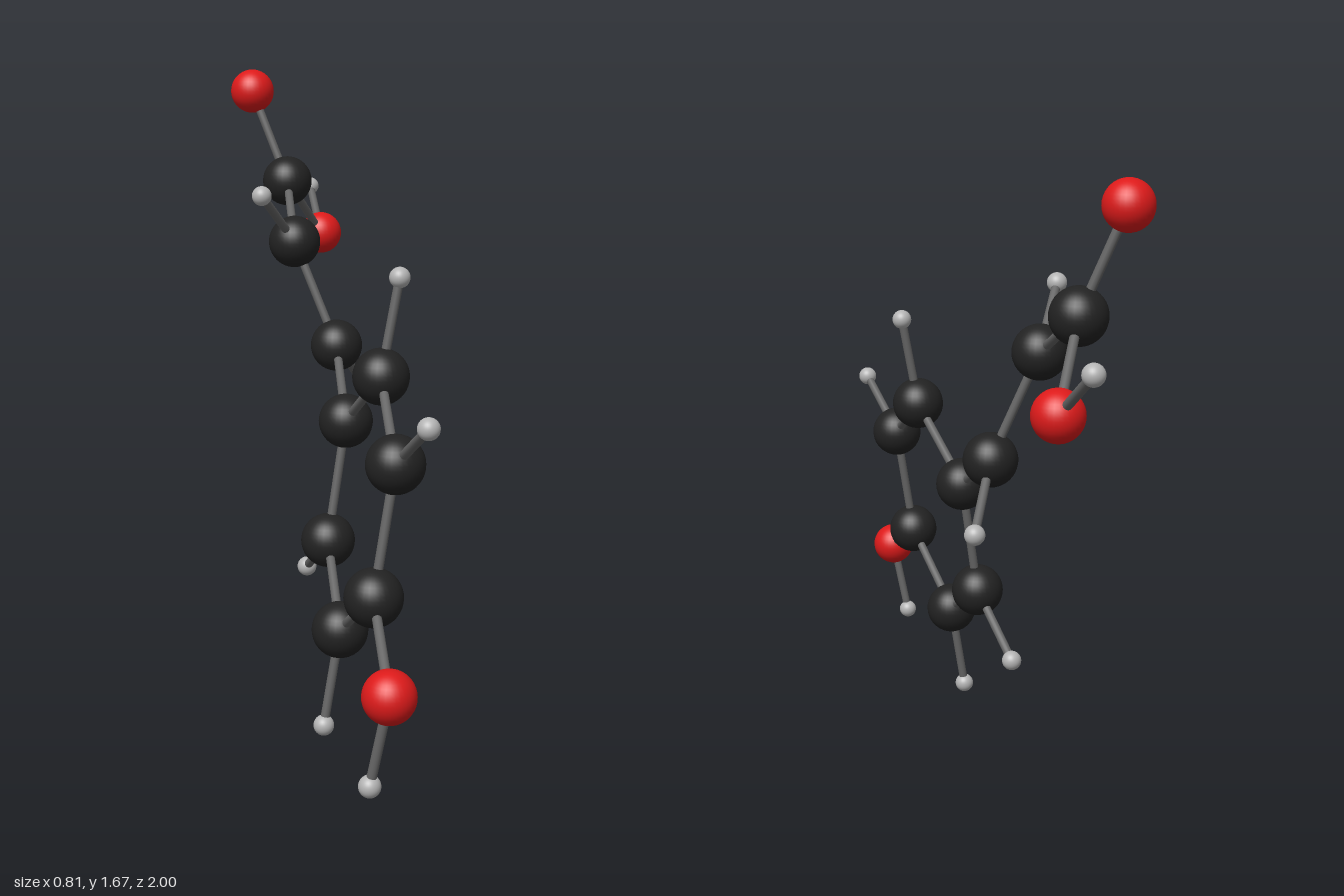
import * as THREE from 'three';

// Ball-and-stick molecule: ring, vinyl chain, acid end and hydroxyl end
const ELEMENTS = {
  carbon: { radius: 0.073, color: 0x222222 },
  oxygen: { radius: 0.064, color: 0xdd1a1a },
  hydrogen: { radius: 0.027, color: 0xb4b4b4 },
};
const BOND_RADIUS = 0.012;

// name: [element, x, y, z, atoms it is bonded to]
const ATOMS = {
  ringCarbon1: ['carbon', 0.062, 0.762, 0.091, ['ringCarbon2', 'ringCarbon6', 'vinylCarbon1']],
  ringCarbon2: ['carbon', 0.195, 0.937, 0.342, ['ringCarbon3', 'ringHydrogen2']],
  ringCarbon3: ['carbon', 0.274, 0.783, 0.626, ['ringCarbon4', 'ringHydrogen3']],
  ringCarbon4: ['carbon', 0.228, 0.460, 0.658, ['ringCarbon5', 'hydroxylOxygen']],
  ringCarbon5: ['carbon', 0.102, 0.284, 0.406, ['ringCarbon6', 'ringHydrogen5']],
  ringCarbon6: ['carbon', 0.020, 0.437, 0.128, ['ringHydrogen6']],
  vinylCarbon1: ['carbon', -0.018, 0.912, -0.214, ['vinylCarbon2', 'vinylHydrogen1']],
  vinylCarbon2: ['carbon', -0.144, 1.203, -0.240, ['acidCarbon', 'vinylHydrogen2']],
  acidCarbon: ['carbon', -0.227, 1.349, -0.543, ['acidOxygen1', 'acidOxygen2']],
  acidOxygen1: ['oxygen', -0.338, 1.613, -0.569, []],
  acidOxygen2: ['oxygen', -0.172, 1.166, -0.795, ['acidHydrogen']],
  hydroxylOxygen: ['oxygen', 0.308, 0.322, 0.936, ['hydroxylHydrogen']],
  ringHydrogen2: ['hydrogen', 0.238, 1.187, 0.323, []],
  ringHydrogen3: ['hydrogen', 0.376, 0.917, 0.820, []],
  ringHydrogen5: ['hydrogen', 0.064, 0.030, 0.430, []],
  ringHydrogen6: ['hydrogen', -0.077, 0.297, -0.069, []],
  vinylHydrogen1: ['hydrogen', 0.021, 0.770, -0.422, []],
  vinylHydrogen2: ['hydrogen', -0.193, 1.350, -0.035, []],
  acidHydrogen: ['hydrogen', -0.240, 1.297, -0.973, []],
  hydroxylHydrogen: ['hydrogen', 0.262, 0.097, 0.922, []],
};

export function createModel() {
  const model = new THREE.Group();
  model.name = 'molecule';
  const atoms = new THREE.Group();
  atoms.name = 'atoms';
  const bonds = new THREE.Group();
  bonds.name = 'bonds';
  model.add(atoms, bonds);

  // One shared ball and material per element
  const balls = {};
  for (const [element, { radius, color }] of Object.entries(ELEMENTS)) {
    balls[element] = {
      geometry: new THREE.SphereGeometry(radius, 32, 20),
      material: new THREE.MeshStandardMaterial({ color }),
    };
  }
  const bondMaterial = new THREE.MeshStandardMaterial({ color: 0x666666 });
  const up = new THREE.Vector3(0, 1, 0);
  const position = (name) => new THREE.Vector3(...ATOMS[name].slice(1, 4));

  // Rod between the centres of two atoms
  function addBond(from, to) {
    const a = position(from);
    const b = position(to);
    const span = b.clone().sub(a);
    const geometry = new THREE.CylinderGeometry(BOND_RADIUS, BOND_RADIUS, span.length(), 16);
    const bond = new THREE.Mesh(geometry, bondMaterial);
    bond.name = `bond ${from} to ${to}`;
    bond.position.copy(a).add(b).multiplyScalar(0.5);
    bond.quaternion.setFromUnitVectors(up, span.normalize());
    bonds.add(bond);
  }

  for (const [name, atom] of Object.entries(ATOMS)) {
    const { geometry, material } = balls[atom[0]];
    const ball = new THREE.Mesh(geometry, material);
    ball.name = name;
    ball.position.copy(position(name));
    atoms.add(ball);
    atom[4].forEach((other) => addBond(name, other));
  }
  return model;
}
